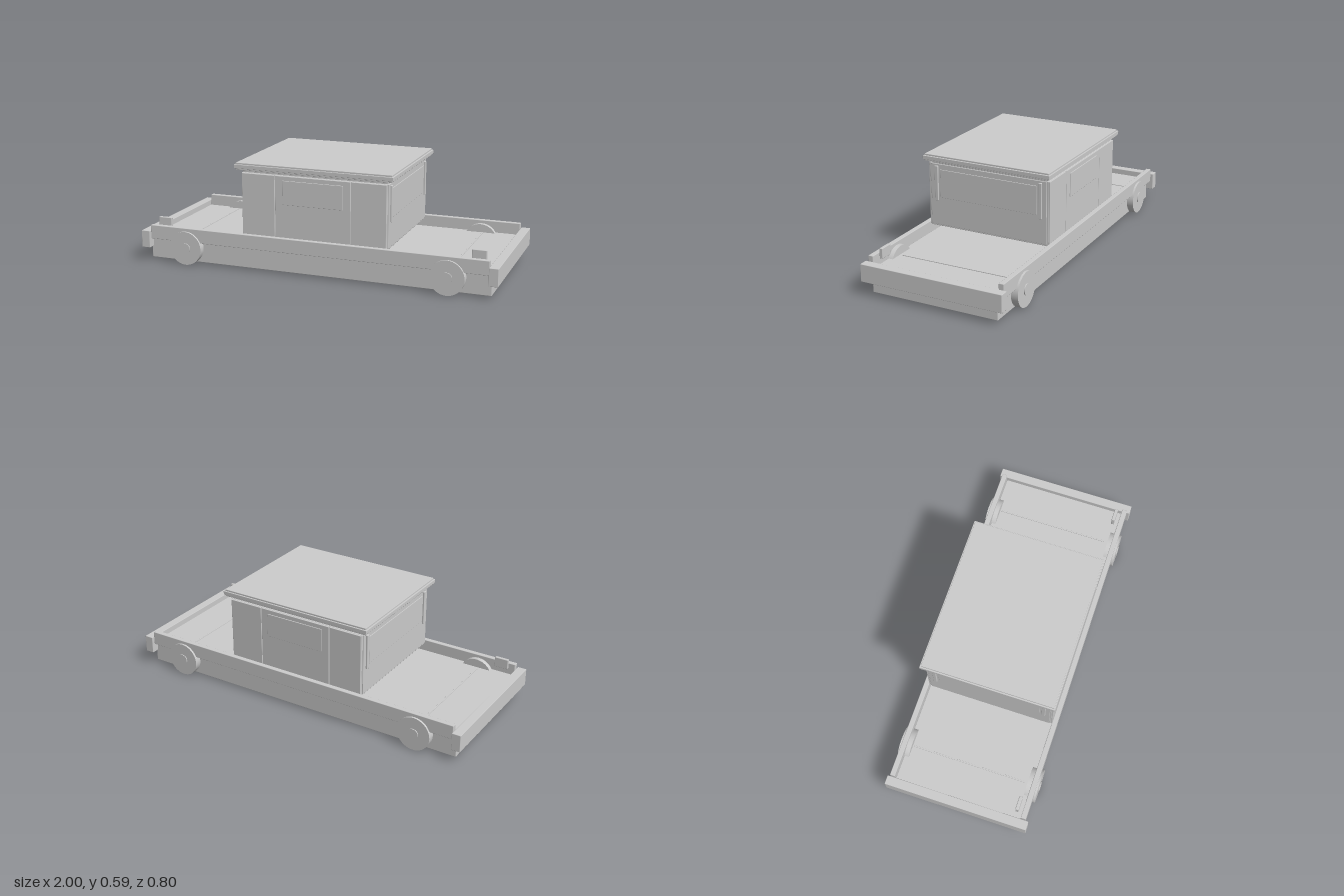
import * as THREE from 'three';
import { RoundedBoxGeometry } from 'three/addons/geometries/RoundedBoxGeometry.js';

export function createModel() {
  const group = new THREE.Group();
  const grey = new THREE.MeshStandardMaterial({ color: 0xcccccc });
  grey.name = 'plain grey';

  const add = (name, geometry, x, y, z) => {
    const mesh = new THREE.Mesh(geometry, grey);
    mesh.name = name;
    mesh.position.set(x, y, z);
    group.add(mesh);
    return mesh;
  };
  // Box with slightly softened edges, given by its limits on each axis
  const box = (name, x0, x1, y0, y1, z0, z1, bevel = 0.003) => add(name,
    new RoundedBoxGeometry(x1 - x0, y1 - y0, z1 - z0, 1, bevel),
    (x0 + x1) / 2, (y0 + y1) / 2, (z0 + z1) / 2);
  // Box mirrored to the front and back
  const boxBothZ = (name, x0, x1, y0, y1, z0, z1, bevel) => {
    box(name, x0, x1, y0, y1, z0, z1, bevel);
    box(name, x0, x1, y0, y1, -z1, -z0, bevel);
  };

  // Chassis with a recessed deck, and overhanging side rails
  box('chassisBase', -0.96, 0.96, 0.012, 0.14, -0.355, 0.355);
  boxBothZ('sideRail', -0.95, 0.95, 0.126, 0.203, 0.354, 0.382);

  for (const s of [-1, 1]) {
    // End beam and deck rib
    box('endBeam', s * 0.975 - 0.025, s * 0.975 + 0.025, 0.076, 0.172, -0.398, 0.398);
    box('deckRib', s * 0.748 - 0.004, s * 0.748 + 0.004, 0.134, 0.144, -0.32, 0.312, 0.001);

    // Wheels with hubs
    for (const side of [-1, 1]) {
      const wheel = add('wheel', new THREE.CylinderGeometry(0.093, 0.093, 0.064, 40),
        s * 0.735, 0.093, side * 0.361);
      wheel.rotation.x = Math.PI / 2;
      const hub = add('wheelHub', new THREE.CylinderGeometry(0.03, 0.03, 0.008, 24),
        s * 0.735, 0.093, side * 0.394);
      hub.rotation.x = Math.PI / 2;
    }

    // Raised step at each end of the front rail
    box('stepBlock', s * 0.885 - 0.038, s * 0.885 + 0.038, 0.185, 0.24, 0.315, 0.333);
  }

  // Cabin core and neck below the roof
  box('cabinBody', -0.405, 0.405, 0.186, 0.537, -0.347, 0.347);
  box('cabinNeck', -0.405, 0.405, 0.53, 0.555, -0.338, 0.338);

  // Front and back walls: three panels with narrow joints, and a window
  for (const [x0, x1] of [[-0.403, -0.216], [-0.213, 0.208], [0.211, 0.403]])
    boxBothZ('cabinPanel', x0, x1, 0.19, 0.535, 0.343, 0.355, 0.002);
  boxBothZ('cabinWindow', -0.17, 0.168, 0.382, 0.512, 0.351, 0.359, 0.002);

  // Side walls, windows and grab rails
  for (const s of [-1, 1]) {
    box('sidePanel', s * 0.404 - 0.006, s * 0.404 + 0.006, 0.196, 0.535, -0.338, 0.338, 0.002);
    box('sideWindow', s * 0.409 - 0.004, s * 0.409 + 0.004, 0.35, 0.506, -0.283, 0.283, 0.002);
    for (const z of [-0.304, 0.304])
      box('grabRail', s * 0.413 - 0.006, s * 0.413 + 0.006, 0.332, 0.525, z - 0.01, z + 0.01);
  }

  // Flat roof with a lipped edge
  box('roof', -0.434, 0.434, 0.551, 0.59, -0.362, 0.362, 0.002);
  box('roofLip', -0.442, 0.442, 0.56, 0.581, -0.369, 0.369, 0.002);

  return group;
}
